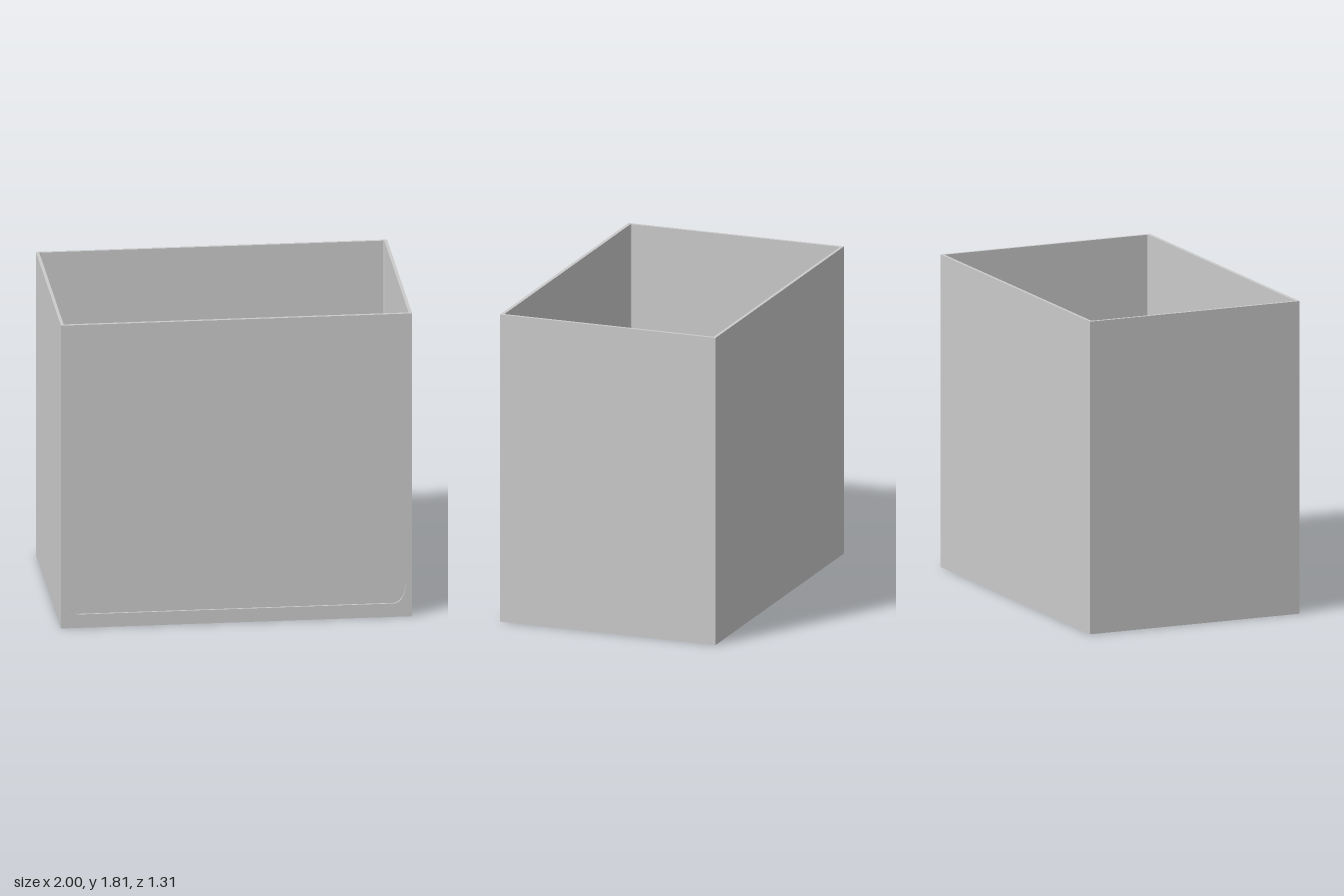
import * as THREE from 'three';

const W = 2, H = 1.81, D = 1.31;      // outer size
const WALL = 0.018, FLOOR = 0.02;     // shell thickness
const RECESS = 0.012;                 // depth of the sunken front panel

// Rectangle with elliptical corners (rx, ry)
function roundedRect(Type, x0, y0, x1, y1, rx, ry) {
  const s = new Type();
  s.moveTo(x0 + rx, y0);
  s.lineTo(x1 - rx, y0);
  if (rx) s.absellipse(x1 - rx, y0 + ry, rx, ry, -Math.PI / 2, 0, false, 0);
  s.lineTo(x1, y1 - ry);
  if (rx) s.absellipse(x1 - rx, y1 - ry, rx, ry, 0, Math.PI / 2, false, 0);
  s.lineTo(x0 + rx, y1);
  if (rx) s.absellipse(x0 + rx, y1 - ry, rx, ry, Math.PI / 2, Math.PI, false, 0);
  s.lineTo(x0, y0 + ry);
  if (rx) s.absellipse(x0 + rx, y0 + ry, rx, ry, Math.PI, Math.PI * 1.5, false, 0);
  return s;
}

function extrude(shape, depth) {
  return new THREE.ExtrudeGeometry(shape, { depth, bevelEnabled: false, curveSegments: 10 });
}

export function createModel() {
  const group = new THREE.Group();
  group.name = 'openBox';
  const material = new THREE.MeshStandardMaterial({ color: 0xcccccc });
  const add = (name, geometry) => {
    const mesh = new THREE.Mesh(geometry, material);
    mesh.name = name;
    group.add(mesh);
    return mesh;
  };
  const front = D / 2 - RECESS;       // plane of the sunken panel

  // Four thin walls as one hollow ring, extruded upwards
  const ring = roundedRect(THREE.Shape, -W / 2, -front, W / 2, D / 2, 0, 0);
  ring.holes.push(roundedRect(THREE.Path,
    -W / 2 + WALL, -D / 2 + WALL + 0.002, W / 2 - WALL, D / 2 - WALL, 0.008, 0.008));
  add('walls', extrude(ring, H - FLOOR).rotateX(-Math.PI / 2).translate(0, FLOOR, 0));

  // Floor plate under the walls
  add('floor', new THREE.BoxGeometry(W, FLOOR, D - RECESS)
    .translate(0, FLOOR / 2, -RECESS / 2));

  // Raised border around the recessed front panel
  const border = roundedRect(THREE.Shape, -W / 2, 0, W / 2, H, 0, 0);
  border.holes.push(roundedRect(THREE.Path, -0.965, 0.08, 0.965, 1.74, 0.07, 0.12));
  add('frontBorder', extrude(border, RECESS).translate(0, 0, front));

  return group;
}
